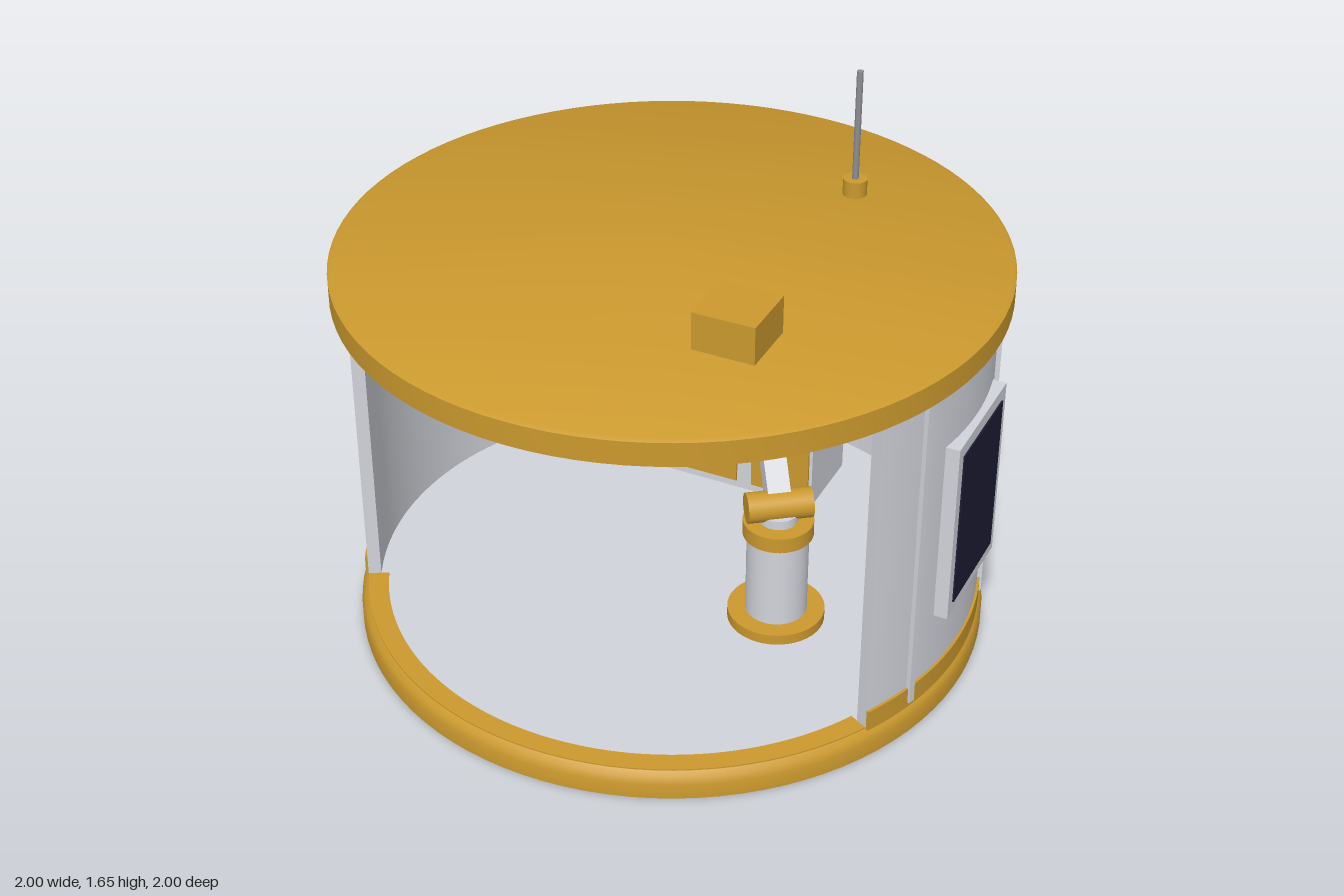
import * as THREE from 'three';
import { toCreasedNormals } from 'three/addons/utils/BufferGeometryUtils.js';

const material = (name, color) => {
  const m = new THREE.MeshStandardMaterial({ color });
  m.name = name;
  return m;
};
const rad = THREE.MathUtils.degToRad;

export function createModel() {
  const gold = material('gold', 0xcb992e);
  const grey = material('light grey', 0xd2d4db);
  const metal = material('mid grey metal', 0x8c8e93);
  const dark = material('dark glass', 0x1c1c33);
  const model = new THREE.Group();
  model.name = 'roboticsPod';

  const add = (name, geometry, mat, x = 0, y = 0, z = 0, parent = model) => {
    const mesh = new THREE.Mesh(geometry, mat);
    mesh.name = name;
    mesh.position.set(x, y, z);
    parent.add(mesh);
    return mesh;
  };
  const box = (name, mat, w, h, d, x, y, z, parent) =>
    add(name, new THREE.BoxGeometry(w, h, d), mat, x, y, z, parent);
  // Upright cylinder standing between two heights
  const post = (name, mat, r, y0, y1, x, z, parent) =>
    add(name, new THREE.CylinderGeometry(r, r, y1 - y0, 40), mat, x, (y0 + y1) / 2, z, parent);
  // Flat round sheet facing up (1) or down (-1)
  const disc = (name, mat, r, y, facing) => {
    add(name, new THREE.CircleGeometry(r, 96), mat, 0, y, 0).rotation.x = -facing * Math.PI / 2;
  };
  // Box set on a circle, its local z pointing outward; angle runs from the front
  const radialBox = (name, mat, w, h, d, angle, r, y) => {
    const t = rad(angle);
    box(name, mat, w, h, d, r * Math.sin(t), y, r * Math.cos(t)).rotation.y = t;
  };
  const lathe = (name, mat, crease, points) => add(name, toCreasedNormals(
    new THREE.LatheGeometry(points.map(p => new THREE.Vector2(...p)), 96), crease), mat);
  // Curved band between two angles, measured anticlockwise from the left side
  const shell = (name, mat, inner, outer, y0, y1, from = -28.3, to = 208.3) => {
    const s = new THREE.Shape();
    s.absarc(0, 0, outer, rad(from), rad(to), false);
    s.absarc(0, 0, inner, rad(to), rad(from), true);
    const g = new THREE.ExtrudeGeometry(s, { depth: y1 - y0, bevelEnabled: false, curveSegments: 72 });
    g.rotateX(-Math.PI / 2);
    add(name, toCreasedNormals(g, 0.4), mat, 0, y0, 0);
  };

  // Base, floor and slightly domed roof
  lathe('baseRing', gold, 0.6, [[0.98, 0], [0.98, 0.05], [0.972, 0.072], [0.958, 0.085], [0.91, 0.085]]);
  disc('floor', grey, 0.925, 0.086, 1);
  disc('baseUnderside', grey, 0.98, 0, -1);
  shell('doorSill', gold, 0.895, 0.957, 0.08, 0.089, 208.3, 331.7);
  lathe('roof', gold, 0.6, [[1, 1.16], [1, 1.234], [0.987, 1.241], [0, 1.246]]);
  disc('ceiling', grey, 1, 1.16, -1);
  box('ceilingLightPanel', dark, 0.58, 0.02, 0.3, 0, 1.15, 0);

  // Wall, skirt and vertical seams
  shell('wall', grey, 0.92, 0.96, 0.085, 1.16);
  shell('wallSkirt', gold, 0.95, 0.968, 0.083, 0.152);
  for (let a = 72; a <= 288; a += 36) radialBox('wallRib', grey, 0.022, 1.04, 0.025, a, 0.962, 0.62);

  // Side windows and rear service boxes
  for (const s of [1, -1]) {
    radialBox('windowFrame', grey, 0.39, 0.59, 0.06, s * 90, 0.952, 0.645);
    radialBox('windowGlass', dark, 0.32, 0.51, 0.008, s * 90, 0.983, 0.645);
    radialBox('serviceBox', grey, 0.26, 0.32, 0.08, s * 148, 0.99, 0.4);
    radialBox('serviceBoxLabel', gold, 0.165, 0.058, 0.009, s * 148, 1.034, 0.502);
  }

  // Roof equipment
  box('roofUnit', gold, 0.19, 0.12, 0.19, 0.385, 1.3, 0.385);
  post('antennaBase', gold, 0.037, 1.24, 1.295, 0.35, -0.55);
  post('antennaMast', metal, 0.01, 1.295, 1.65, 0.35, -0.55);

  // Workbench with cabinet doors
  box('benchCabinet', grey, 0.735, 0.405, 0.27, -0.097, 0.2875, -0.625);
  box('benchNeck', grey, 0.72, 0.02, 0.25, -0.097, 0.498, -0.63);
  box('benchTop', dark, 0.77, 0.04, 0.3, -0.095, 0.525, -0.625);
  for (let i = 0; i < 3; i++)
    box('cabinetDoor', gold, 0.203, 0.31, 0.01, -0.355 + i * 0.2565, 0.27, -0.487);
  box('goldPart', gold, 0.105, 0.083, 0.1, -0.29, 0.586, -0.62);
  box('greyTray', grey, 0.14, 0.068, 0.12, 0.03, 0.579, -0.62);

  // Wall screen and the tool holder opposite
  radialBox('screenFrame', grey, 0.3, 0.215, 0.03, 126, 0.9, 0.834);
  radialBox('screenGlass', dark, 0.28, 0.167, 0.008, 126, 0.882, 0.838);
  radialBox('toolCase', grey, 0.08, 0.14, 0.12, -90, 0.85, 0.735);
  for (const y of [0.645, 0.88]) radialBox('toolBracket', grey, 0.09, 0.027, 0.14, -90, 0.845, y);

  // Robot arm; local x points along its reach and local z along its hinges
  const arm = new THREE.Group();
  arm.name = 'robotArm';
  arm.position.set(0.395, 0, 0.08);
  arm.rotation.y = 2.2;
  model.add(arm);
  post('armFlange', gold, 0.15, 0.085, 0.12, 0, 0, arm);
  post('armColumn', grey, 0.095, 0.12, 0.4, 0, 0, arm);
  post('armCollar', gold, 0.108, 0.4, 0.45, 0, 0, arm);
  post('armTurntable', grey, 0.06, 0.45, 0.48, 0, 0, arm);
  const hinge = (name, r, length, x, y) => {
    add(name, new THREE.CylinderGeometry(r, r, length, 32), gold, x, y, 0, arm).rotation.x = Math.PI / 2;
  };
  const link = (name, x0, y0, x1, y1, h, d) => {
    const length = Math.hypot(x1 - x0, y1 - y0);
    box(name, grey, length, h, d, (x0 + x1) / 2, (y0 + y1) / 2, 0, arm)
      .rotation.z = Math.atan2(y1 - y0, x1 - x0);
  };
  hinge('shoulderJoint', 0.047, 0.2, 0, 0.5);
  hinge('elbowJoint', 0.046, 0.14, 0.345, 0.87);
  hinge('wristJoint', 0.04, 0.06, 0.845, 0.783);
  link('upperArm', 0, 0.5, 0.345, 0.87, 0.07, 0.07);
  link('forearm', 0.345, 0.87, 0.845, 0.783, 0.05, 0.05);

  // Gripper
  post('gripperMount', gold, 0.032, 0.738, 0.765, 0.805, 0, arm);
  for (const s of [1, -1]) box('gripperFinger', gold, 0.018, 0.07, 0.012, 0.805, 0.704, s * 0.016, arm);

  return model;
}
